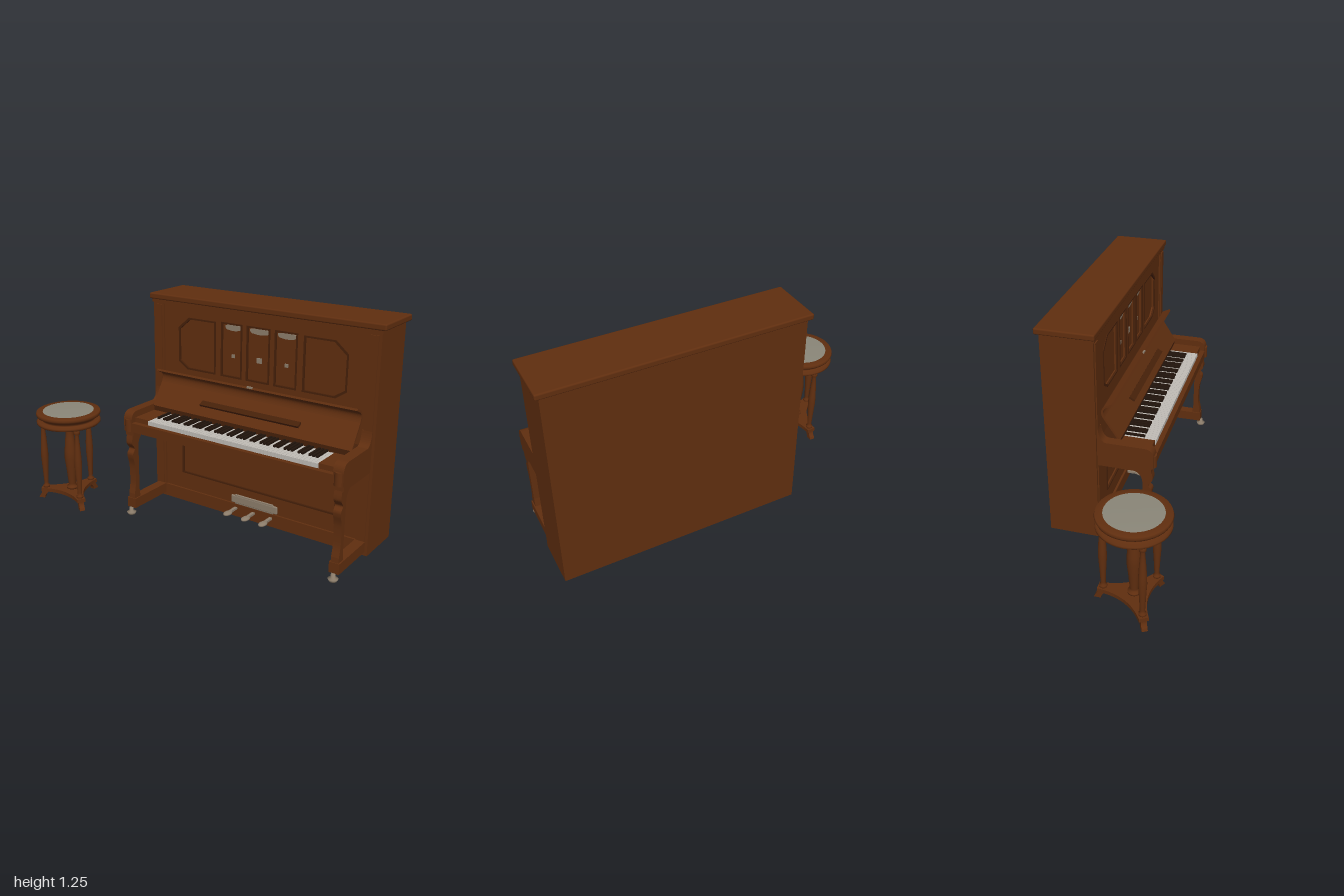
import * as THREE from 'three';
import { mergeGeometries } from 'three/addons/utils/BufferGeometryUtils.js';
import { RoundedBoxGeometry } from 'three/addons/geometries/RoundedBoxGeometry.js';

const material = (name, color) => Object.assign(new THREE.MeshStandardMaterial({ color }), { name });

export function createModel() {
  const wood = material('walnut wood', 0x602e0f);
  const darkWood = material('dark walnut', 0x462009);
  const ivory = material('ivory', 0xc0bcb6);
  const ebony = material('ebony', 0x21140c);
  const metal = material('aged metal', 0x8c7d6b);
  const cushionGrey = material('cushion grey', 0x8a8678);

  const model = new THREE.Group();
  const piano = new THREE.Group();
  piano.name = 'piano';
  piano.position.x = 0.285; // piano parts are symmetric about their own x = 0
  const stool = new THREE.Group();
  stool.name = 'stool';
  stool.position.set(-0.81, 0, 0.212);
  model.add(piano, stool);

  const add = (parent, name, geometry, mat) => {
    const mesh = new THREE.Mesh(geometry, mat);
    mesh.name = name;
    parent.add(mesh);
    return mesh;
  };
  // Box given by its limits on each axis
  const block = (x0, x1, y0, y1, z0, z1) =>
    new THREE.BoxGeometry(x1 - x0, y1 - y0, z1 - z0).translate((x0 + x1) / 2, (y0 + y1) / 2, (z0 + z1) / 2);
  const box = (name, mat, ...limits) => add(piano, name, block(...limits), mat);
  const polygon = (pts) => new THREE.Shape(pts.map(([x, y]) => new THREE.Vector2(x, y)));
  const extrude = (shape, depth, z = 0) =>
    new THREE.ExtrudeGeometry(shape, { depth, bevelEnabled: false, curveSegments: 10 }).translate(0, 0, z);
  // Extrudes a (z, y) outline across x, centred on cx
  const sideProfile = (shape, width, cx) => extrude(shape, width).rotateY(-Math.PI / 2).translate(cx + width / 2, 0, 0);
  const lathe = (pts, segments = 20) =>
    new THREE.LatheGeometry(pts.map(([r, y]) => new THREE.Vector2(r, y)), segments);

  // Case and lid
  box('case', wood, -0.69, 0.69, 0.03, 1.217, -0.38, -0.13);
  add(piano, 'lid', new RoundedBoxGeometry(1.424, 0.033, 0.31, 3, 0.008).translate(0, 1.2335, -0.245), wood);
  box('lidMoulding', wood, -0.695, 0.695, 1.2, 1.218, -0.13, -0.096);
  for (const s of [-1, 1]) {
    const side = (a, b) => (s > 0 ? [a, b] : [-b, -a]);
    box('casePillar', wood, ...side(0.62, 0.69), 0.03, 1.217, -0.13, -0.103);
    box('pillarFace', wood, ...side(0.632, 0.675), 0.11, 1.19, -0.103, -0.097);
  }

  // Upper front panel: a frame with sunken fields
  const fields = [
    [[-0.52, 0.88], [-0.46, 0.84], [-0.27, 0.84], [-0.27, 1.135], [-0.45, 1.135], [-0.52, 1.075]],
    [[-0.235, 0.84], [-0.1, 0.84], [-0.1, 1.14], [-0.235, 1.14]],
    [[-0.072, 0.84], [0.072, 0.84], [0.072, 1.14], [-0.072, 1.14]],
  ];
  for (const i of [0, 1]) fields.push(fields[i].map(([x, y]) => [-x, y]).reverse());
  const upperFrame = polygon([[-0.62, 0.63], [0.62, 0.63], [0.62, 1.2], [-0.62, 1.2]]);
  fields.forEach((f) => upperFrame.holes.push(polygon(f)));
  add(piano, 'upperFrame', extrude(upperFrame, 0.018, -0.13), wood);
  // Thin moulding around a field
  const moulding = (f, name) => {
    const c = f.reduce((a, p) => [a[0] + p[0] / f.length, a[1] + p[1] / f.length], [0, 0]);
    const ring = polygon(f);
    ring.holes.push(polygon(f.map(([x, y]) => [x - 0.009 * Math.sign(x - c[0]), y - 0.009 * Math.sign(y - c[1])])));
    add(piano, name, extrude(ring, 0.01, -0.118), darkWood);
  };
  fields.forEach((f) => moulding(f, 'upperMoulding'));

  // Ornaments on the three middle fields
  for (const [x, w] of [[-0.165, 0.1], [0, 0.118], [0.165, 0.108]]) {
    const o = new THREE.Shape();
    o.moveTo(-w / 2, 1.122);
    o.quadraticCurveTo(0, 1.134, w / 2, 1.122);
    o.quadraticCurveTo(w / 2, 1.1, w / 3, 1.1);
    o.quadraticCurveTo(0, 1.092, -w / 3, 1.1);
    o.quadraticCurveTo(-w / 2, 1.1, -w / 2, 1.122);
    add(piano, 'ornament', extrude(o, 0.008, -0.13).translate(x, 0, 0), metal);
    const h = x ? 0.009 : 0.014;
    box('ornamentStud', metal, x - h, x + h, 0.957 - h, 0.957 + h, -0.13, -0.122);
  }

  // Lower front panel and plinth
  const lower = [[-0.5, 0.205], [0.5, 0.205], [0.5, 0.432], [-0.5, 0.432]];
  const lowerFrame = polygon([[-0.62, 0.105], [0.62, 0.105], [0.62, 0.52], [-0.62, 0.52]]);
  lowerFrame.holes.push(polygon(lower));
  add(piano, 'lowerFrame', extrude(lowerFrame, 0.015, -0.13), wood);
  moulding(lower, 'lowerMoulding');
  box('plinth', wood, -0.62, 0.62, 0.03, 0.105, -0.13, -0.103);

  // Pedals and their plate
  add(piano, 'pedalPlate', new RoundedBoxGeometry(0.3, 0.045, 0.014, 3, 0.006).translate(0, 0.135, -0.106), metal);
  add(piano, 'pedalPlateCrest', new RoundedBoxGeometry(0.25, 0.058, 0.01, 3, 0.004).translate(0, 0.136, -0.105), metal);
  for (const x of [-0.118, 0, 0.112]) {
    box('pedalArm', metal, x - 0.009, x + 0.009, 0.075, 0.087, -0.11, -0.03);
    const pad = new THREE.SphereGeometry(1, 16, 8).scale(0.022, 0.011, 0.034).translate(x, 0.08, -0.02);
    add(piano, 'pedalPad', pad, metal);
  }

  // Arms, legs, toes and casters
  const arm = new THREE.Shape();
  arm.moveTo(-0.103, 0.492);
  arm.lineTo(0.185, 0.492);
  arm.lineTo(0.185, 0.515);
  arm.lineTo(0.197, 0.52);
  arm.lineTo(0.197, 0.59);
  arm.quadraticCurveTo(0.192, 0.635, 0.145, 0.635);
  arm.lineTo(-0.055, 0.635);
  arm.quadraticCurveTo(-0.09, 0.64, -0.097, 0.71);
  arm.lineTo(-0.103, 0.71);
  const leg = new THREE.Shape();
  leg.moveTo(0.13, 0.105);
  leg.lineTo(0.182, 0.105);
  leg.lineTo(0.18, 0.135);
  leg.splineThru([[0.168, 0.2], [0.17, 0.3], [0.184, 0.36], [0.184, 0.385], [0.168, 0.41], [0.19, 0.445], [0.185, 0.493]]
    .map(([z, y]) => new THREE.Vector2(z, y)));
  leg.lineTo(0.06, 0.493);
  leg.quadraticCurveTo(0.135, 0.49, 0.137, 0.42);
  leg.lineTo(0.137, 0.16);
  for (const s of [-1, 1]) {
    const x = s * 0.648;
    add(piano, 'arm', sideProfile(arm, 0.056, x), wood);
    const tip = new THREE.CylinderGeometry(0.025, 0.025, 0.07, 20).translate(x, 0.555, 0.183);
    add(piano, 'armTip', tip, wood);
    add(piano, 'frontLeg', sideProfile(leg, 0.042, x), wood);
    box('toe', wood, x - 0.028, x + 0.028, 0.05, 0.108, -0.105, 0.186);
    const caster = lathe([[0, 0.01], [0.02, 0.01], [0.027, 0.024], [0.012, 0.03], [0.012, 0.052], [0, 0.052]]);
    add(piano, 'caster', caster.translate(x, 0, 0.188), metal);
  }

  // Keybed with front rail, key blocks and back rail
  box('keybed', wood, -0.62, 0.62, 0.515, 0.562, -0.13, 0.17);
  box('keySlip', wood, -0.62, 0.62, 0.52, 0.572, 0.168, 0.197);
  box('keyBackRail', darkWood, -0.62, 0.62, 0.56, 0.628, -0.1, -0.002);
  for (const s of [-1, 1]) {
    const x = s * 0.573;
    box('keyBlock', wood, x - 0.047, x + 0.047, 0.56, 0.598, -0.005, 0.165);
  }

  // Fifty-two white keys; black keys follow the octave pattern starting at A
  const whites = [], blacks = [];
  const pitch = 1.05 / 52;
  for (let i = 0; i < 52; i++) {
    const x = -0.525 + i * pitch;
    whites.push(block(x + 0.0008, x + pitch - 0.0008, 0.56, 0.596, -0.005, 0.17));
    if (i < 51 && [0, 2, 3, 5, 6].includes(i % 7))
      blacks.push(block(x + pitch - 0.006, x + pitch + 0.006, 0.595, 0.607, -0.005, 0.106));
  }
  add(piano, 'whiteKeys', mergeGeometries(whites), ivory);
  add(piano, 'blackKeys', mergeGeometries(blacks), ebony);

  // Open fallboard with a curled lip, music ledge and lock
  const fall = new THREE.Shape();
  fall.moveTo(-0.012, 0.628);
  fall.lineTo(0.0, 0.628);
  fall.lineTo(-0.08, 0.752);
  fall.quadraticCurveTo(-0.1, 0.79, -0.074, 0.806);
  fall.lineTo(-0.036, 0.824);
  fall.lineTo(-0.042, 0.834);
  fall.lineTo(-0.084, 0.813);
  fall.quadraticCurveTo(-0.112, 0.785, -0.09, 0.745);
  // Keep the curl clear of the upper frame
  add(piano, 'fallboard', sideProfile(fall, 1.238, 0).translate(0, 0, 0.004), wood);
  const ledge = add(piano, 'musicLedge', new THREE.BoxGeometry(0.615, 0.012, 0.034), darkWood);
  ledge.position.set(0.005, 0.692, -0.022);
  ledge.rotation.x = 0.5;
  box('fallboardLock', metal, -0.018, 0.018, 0.826, 0.836, -0.042, -0.033);

  // Stool seat
  const seat = [[0, 0.488], [0.18, 0.488], [0.186, 0.494], [0.186, 0.504], [0.178, 0.509], [0.155, 0.51], [0.158, 0.522],
    [0.174, 0.535], [0.183, 0.537], [0.188, 0.548], [0.184, 0.56], [0.15, 0.562], [0, 0.561]];
  const seatGeometry = lathe(seat, 40);
  add(stool, 'seat', seatGeometry, wood);
  const cushion = lathe([[0.15, 0.558], [0.147, 0.564], [0, 0.565]], 40);
  add(stool, 'cushion', cushion, cushionGrey);

  // Turned column and legs share one profile; k scales the radius
  const turned = (k) => lathe([[0.013, 0.06], [0.02, 0.07], [0.02, 0.08], [0.012, 0.086], [0.013, 0.1], [0.017, 0.18],
    [0.022, 0.26], [0.021, 0.31], [0.016, 0.39], [0.011, 0.455], [0.018, 0.465], [0.018, 0.478], [0.013, 0.49]]
    .map(([r, y]) => [r * k, y]));
  add(stool, 'column', turned(1.7), wood);

  // Three legs, feet and a concave three-pointed base
  const foot = new THREE.Shape();
  foot.moveTo(0.13, 0.046);
  foot.quadraticCurveTo(0.165, 0.035, 0.17, 0);
  foot.lineTo(0.206, 0);
  foot.lineTo(0.2, 0.014);
  foot.quadraticCurveTo(0.185, 0.03, 0.186, 0.046);
  const base = new THREE.Shape();
  for (let i = 0; i < 3; i++) {
    const a = -Math.PI / 2 + (i * Math.PI * 2) / 3;
    const at = (r, t) => [r * Math.cos(t), r * Math.sin(t)];
    if (i === 0) base.moveTo(...at(0.188, a - 0.13));
    base.lineTo(...at(0.188, a + 0.13));
    base.quadraticCurveTo(...at(0.035, a + Math.PI / 3), ...at(0.188, a + (Math.PI * 2) / 3 - 0.13));
    const [x, z] = at(0.16, a);
    add(stool, 'stoolLeg', turned(1).translate(x, 0, z), wood);
    add(stool, 'stoolFoot', extrude(foot, 0.03, -0.015).rotateY(-a), wood);
  }
  add(stool, 'stoolBase', extrude(base, 0.022).rotateX(Math.PI / 2).translate(0, 0.067, 0), wood);
  return model;
}
